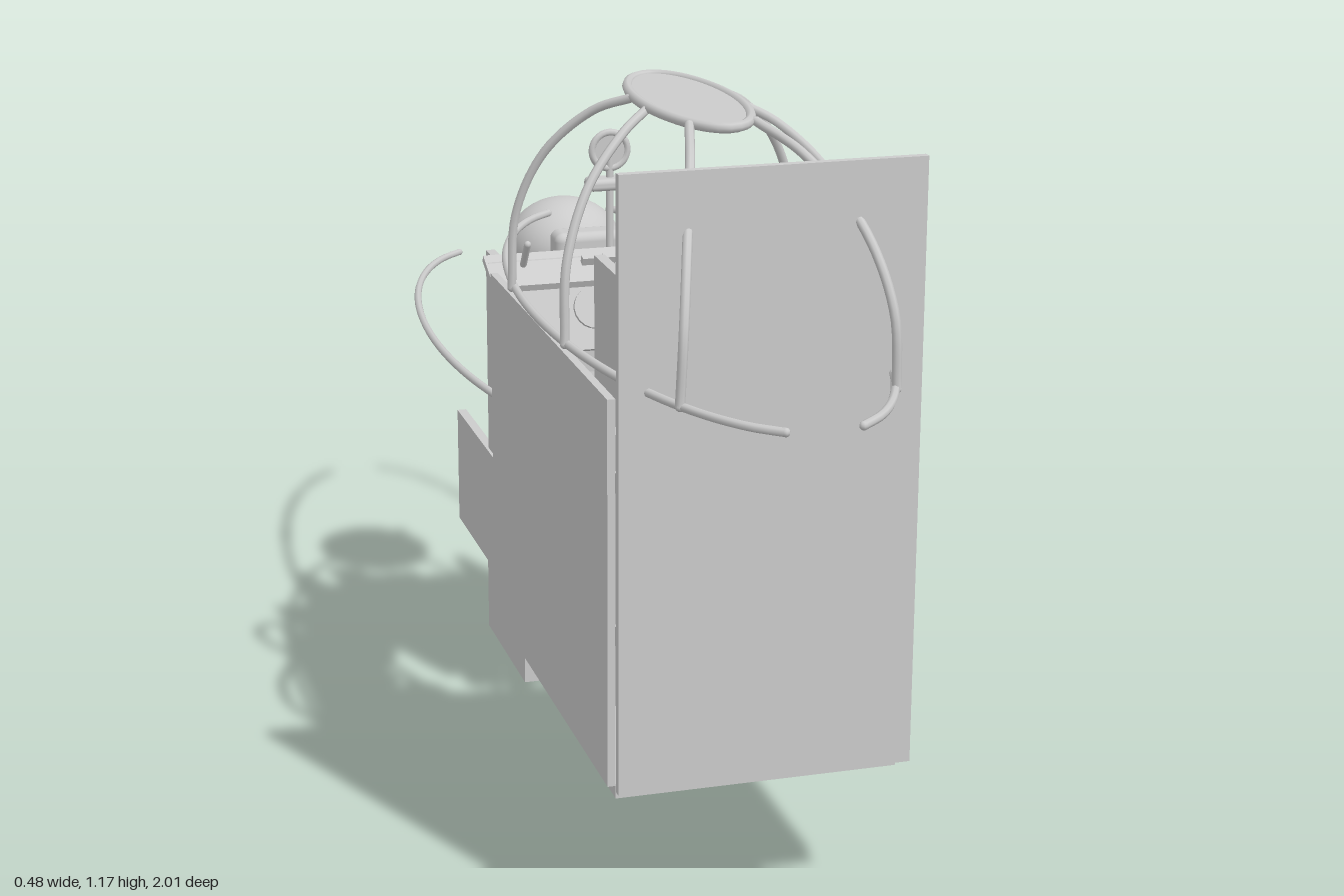
import * as THREE from 'three';
import { RoundedBoxGeometry } from 'three/addons/geometries/RoundedBoxGeometry.js';

const mat = new THREE.MeshStandardMaterial({ color: 0xcccccc, side: THREE.DoubleSide });

export function createModel() {
  const root = new THREE.Group();
  root.name = 'cockpitRig';

  const add = (name, geo, x = 0, y = 0, z = 0, rx = 0, ry = 0, rz = 0) => {
    const m = new THREE.Mesh(geo, mat);
    m.name = name;
    m.position.set(x, y, z);
    m.rotation.set(rx, ry, rz);
    root.add(m);
    return m;
  };
  // Box from its limits on each axis
  const box = (name, x0, x1, y0, y1, z0, z1, rx = 0) =>
    add(name, new THREE.BoxGeometry(x1 - x0, y1 - y0, z1 - z0), (x0 + x1) / 2, (y0 + y1) / 2, (z0 + z1) / 2, rx);
  const soft = (name, x0, x1, y0, y1, z0, z1, r, rx = 0) =>
    add(name, new RoundedBoxGeometry(x1 - x0, y1 - y0, z1 - z0, 3, r), (x0 + x1) / 2, (y0 + y1) / 2, (z0 + z1) / 2, rx);
  // Smooth rod through points, with capped ends
  const rod = (name, pts, r, seg = 32) => {
    const v = pts.map(p => new THREE.Vector3(...p));
    add(name, new THREE.TubeGeometry(new THREE.CatmullRomCurve3(v), seg, r, 8), 0, 0, 0);
    for (const p of [v[0], v[v.length - 1]]) add(name + 'End', new THREE.SphereGeometry(r, 8, 6), p.x, p.y, p.z);
  };
  // Thin slab whose side profile runs from (z0, y0) to (z1, y1)
  const slab = (name, x, w, z0, y0, z1, y1, t) =>
    add(name, new THREE.BoxGeometry(w, Math.hypot(z1 - z0, y1 - y0), t),
      x, (y0 + y1) / 2, (z0 + z1) / 2, Math.atan2(z1 - z0, y1 - y0));

  // Tub: floor, walls, underside boxes and front bulkhead
  box('floor', -0.215, 0.215, 0.217, 0.24, 0.03, 0.74);
  box('floorHatch', -0.127, 0.127, 0.175, 0.218, 0.25, 0.53);
  box('floorStep', -0.12, 0.12, 0.2, 0.218, 0.1, 0.16);
  box('frontBulkhead', -0.222, 0.222, 0.24, 1.148, 0.767, 0.78);
  for (const s of [-1, 1]) {
    const wall = box('sideWall', -0.006, 0.006, 0.237, 0.822, 0.03, 0.74);
    wall.position.x = s * 0.221;
    for (const y of [0.47, 0.7]) {
      const hinge = box('wallHinge', -0.006, 0.006, y - 0.015, y + 0.015, 0.735, 0.77);
      hinge.position.x = s * 0.21;
    }

    // Side console with rows of knobs
    const console = box('sideConsole', -0.032, 0.032, 0.57, 0.62, 0.13, 0.54);
    console.position.x = s * 0.182;
    for (let i = 0; i < 12; i++) {
      add('consoleKnob', new THREE.CylinderGeometry(0.006, 0.006, 0.016, 8),
        s * (0.165 + 0.018 * (i % 3)), 0.627, (i < 6 ? 0.2 : 0.42) + 0.025 * (Math.floor(i / 3) % 2));
    }
    box('throttleBlock', s * 0.165 - 0.025, s * 0.165 + 0.025, 0.62, 0.66, 0.2, 0.26);
  }

  // Inner seat, facing the rear
  soft('innerSeatCushion', -0.13, 0.13, 0.44, 0.51, 0.2, 0.52, 0.02);
  box('innerSeatBase', -0.14, 0.14, 0.24, 0.45, 0.23, 0.54);
  box('innerSeatBack', -0.17, 0.17, 0.4, 1.0, 0.6, 0.635);
  slab('innerBackCushion', 0, 0.29, 0.5, 0.49, 0.57, 0.94, 0.06);
  soft('innerBackRoll', -0.155, 0.155, 0.9, 0.965, 0.54, 0.605, 0.025);
  soft('innerHeadrest', -0.08, 0.08, 0.97, 1.08, 0.57, 0.632, 0.022);
  for (const s of [-1, 1]) {
    const wing = box('innerSeatWing', -0.008, 0.008, 0.45, 0.96, 0.48, 0.61);
    wing.position.x = s * 0.167;
    const thigh = box('innerSeatSide', -0.008, 0.008, 0.4, 0.57, 0.2, 0.5);
    thigh.position.x = s * 0.142;
    rod('harnessStrap', [[s * 0.035, 0.94, 0.52], [s * 0.06, 0.8, 0.47], [s * 0.1, 0.52, 0.42]], 0.008, 12);
  }
  add('bottle', new THREE.CylinderGeometry(0.03, 0.03, 0.3, 20), -0.17, 0.6, 0.67);
  add('bottleCap', new THREE.CylinderGeometry(0.014, 0.014, 0.03, 12), -0.17, 0.765, 0.67);

  // Control stick
  rod('controlStick', [[0, 0.24, 0.14], [0, 0.42, 0.13], [0, 0.55, 0.15]], 0.009, 12);
  soft('stickGrip', -0.016, 0.016, 0.54, 0.62, 0.135, 0.167, 0.012);

  // Instrument panel, lower panel and their fittings
  slab('instrumentPanel', 0, 0.43, 0.03, 0.68, -0.04, 0.82, 0.014);
  slab('panelHood', 0, 0.44, 0.02, 0.79, -0.055, 0.825, 0.012);
  slab('lowerPanel', 0, 0.22, 0.03, 0.45, -0.01, 0.63, 0.012);
  for (let i = -2; i < 2; i++) {
    slab('panelSwitch', 0.036 * (i + 0.5), 0.02, -0.005, 0.82, -0.015, 0.825, 0.014);
    const dial = add('dial', new THREE.CylinderGeometry(0.035, 0.035, 0.012, 20),
      0.095 * (i + 0.5), 0.745, 0.007, Math.PI / 2 - 0.46);
    dial.name = 'dial';
  }
  slab('cornerInstrument', 0.145, 0.08, 0.0, 0.84, -0.055, 0.88, 0.025);
  rod('panelLever', [[-0.16, 0.82, -0.02], [-0.16, 0.86, 0.01]], 0.006, 4);

  // Sight on the panel
  add('sightPost', new THREE.CylinderGeometry(0.006, 0.006, 0.18, 10), 0, 0.895, -0.07);
  soft('sightBody', -0.04, 0.04, 0.925, 0.945, -0.09, -0.048, 0.008);
  add('sightRing', new THREE.TorusGeometry(0.03, 0.006, 8, 28), 0, 0.99, -0.07);
  add('sightGlass', new THREE.CylinderGeometry(0.028, 0.028, 0.004, 28), 0, 0.99, -0.07, Math.PI / 2);

  // Foot pedals
  for (const s of [-1, 1]) {
    slab('pedal', s * 0.075, 0.07, 0.03, 0.315, -0.015, 0.345, 0.02);
    rod('pedalArm', [[s * 0.075, 0.24, 0.06], [s * 0.075, 0.33, 0.015]], 0.008, 4);
  }
  add('pedalBar', new THREE.CylinderGeometry(0.008, 0.008, 0.2, 10), 0, 0.25, 0.06, 0, 0, Math.PI / 2);

  // Rear seat on its pedestal
  box('pedestal', -0.12, 0.12, 0, 0.22, -0.49, -0.207);
  box('rearSeatPan', -0.16, 0.16, 0.22, 0.235, -0.49, -0.105);
  soft('rearCushion', -0.15, 0.15, 0.225, 0.29, -0.515, -0.14, 0.022);
  box('rearSeatBack', -0.16, 0.16, 0.23, 0.78, -0.13, -0.105);
  soft('rearBackCushion', -0.148, 0.148, 0.3, 0.775, -0.19, -0.125, 0.02);
  soft('rearHeadrest', -0.08, 0.08, 0.765, 0.84, -0.17, -0.115, 0.015);
  for (const s of [-1, 1]) {
    const arm = box('rearArmPanel', -0.008, 0.008, 0.22, 0.428, -0.49, -0.105);
    arm.position.x = s * 0.165;
    const wing = box('rearWing', -0.008, 0.008, 0.428, 0.785, -0.26, -0.105);
    wing.position.x = s * 0.16;
  }

  // Head with a small side piece
  add('head', new THREE.SphereGeometry(1, 36, 24), 0, 0.758, -0.37).scale.set(0.1, 0.084, 0.107);
  rod('headClip', [[0.075, 0.8, -0.39], [0.085, 0.795, -0.435], [0.078, 0.765, -0.44]], 0.005, 10);

  // Long bowed rails: upper pair towards the front, lower pair towards the rear
  for (const s of [-1, 1]) {
    for (const [name, y, c] of [['upperRail', 0.84, 0.362], ['lowerRail', 0.592, -0.362]]) {
      const pts = [];
      for (let i = 0; i <= 16; i++) {
        const a = -1.335 + 2.67 * i / 16;
        pts.push([s * 0.233 * Math.cos(a), y, c + 0.653 * Math.sin(a)]);
      }
      rod(name, pts, 0.0065, 64);
    }

    // Canopy hoops joining the rails to the top ring
    rod('canopyFrontBow', [[s * 0.05, 1.158, 0.54], [s * 0.085, 1.13, 0.66], [s * 0.128, 1.05, 0.79],
      [s * 0.15, 0.95, 0.85], [s * 0.156, 0.84, 0.853]], 0.007);
    rod('canopyMidBow', [[s * 0.07, 1.157, 0.4], [s * 0.12, 1.13, 0.44], [s * 0.185, 1.06, 0.482],
      [s * 0.224, 0.96, 0.51], [s * 0.23, 0.84, 0.518]], 0.007);
    rod('canopyRearBow', [[s * 0.07, 1.157, 0.32], [s * 0.12, 1.13, 0.27], [s * 0.185, 1.06, 0.225],
      [s * 0.224, 0.96, 0.198], [s * 0.23, 0.84, 0.19]], 0.007);
  }

  // Top ring and its thin pane
  const ring = [];
  for (let i = 0; i < 24; i++) {
    const a = i / 24 * Math.PI * 2;
    ring.push(new THREE.Vector3(0.072 * Math.cos(a), 1.158, 0.367 + 0.208 * Math.sin(a)));
  }
  add('topRing', new THREE.TubeGeometry(new THREE.CatmullRomCurve3(ring, true), 64, 0.008, 8, true));
  add('topPane', new THREE.CylinderGeometry(1, 1, 0.006, 48), 0, 1.158, 0.367).scale.set(0.072, 1, 0.208);

  return root;
}
